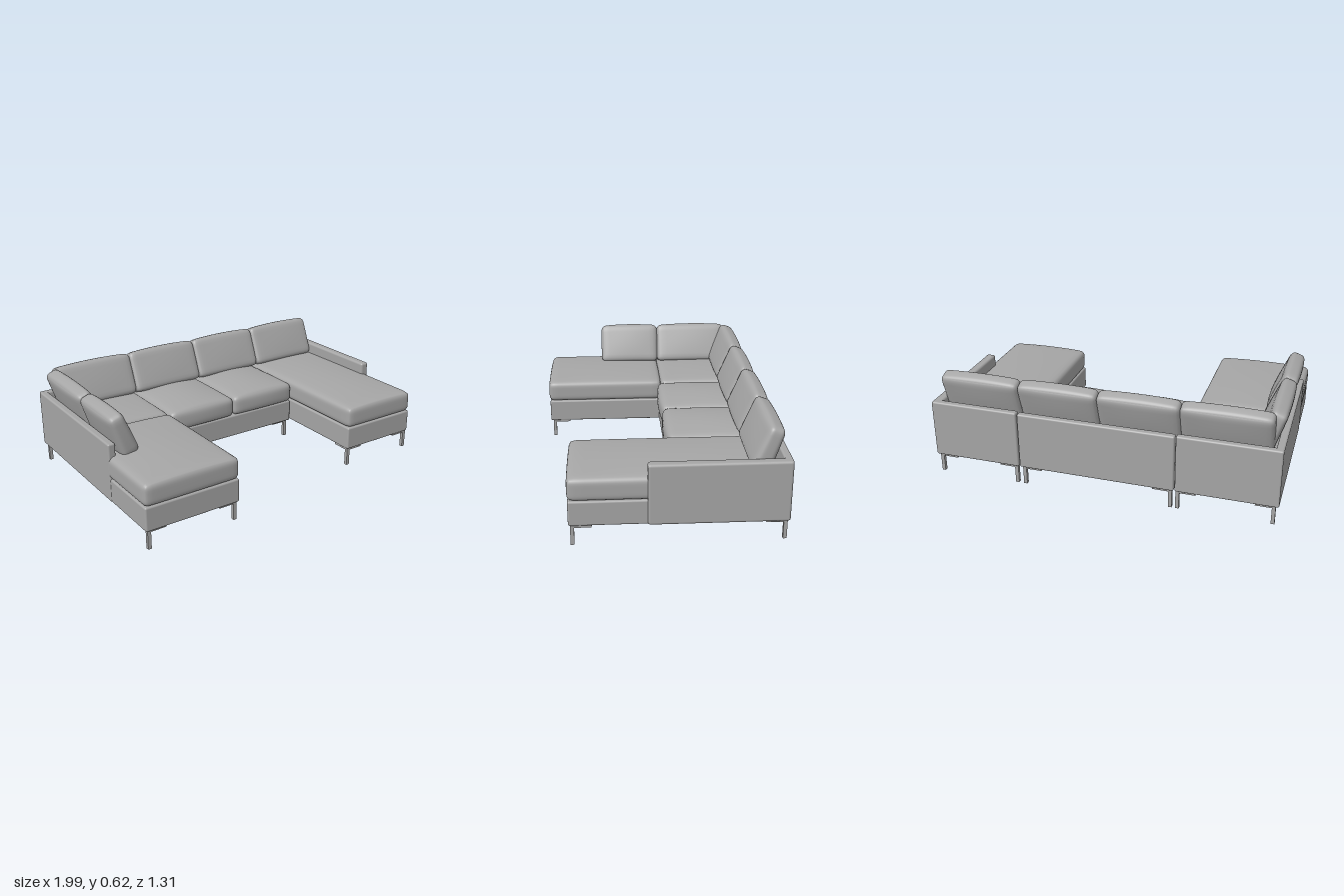
import * as THREE from 'three';
import { mergeVertices } from 'three/addons/utils/BufferGeometryUtils.js';
import { RoundedBoxGeometry } from 'three/addons/geometries/RoundedBoxGeometry.js';

const fabric = new THREE.MeshStandardMaterial({ color: 0xa6a6a6 });
fabric.name = 'grey upholstery';

// Soft box: rounded edges, bulging faces, optional thinning towards the top
function cushionGeometry(w, h, d, r, bulge, taper = 1) {
  let g = new THREE.BoxGeometry(2, 2, 2, 16, 14, 16);
  g.deleteAttribute('uv');
  g.deleteAttribute('normal');
  g = mergeVertices(g);
  const p = g.attributes.position;
  const half = new THREE.Vector3(w / 2, h / 2, d / 2);
  const core = half.clone().subScalar(r);
  const v = new THREE.Vector3(), inner = new THREE.Vector3();
  for (let i = 0; i < p.count; i++) {
    v.fromBufferAttribute(p, i);
    // crowd the grid towards the edges
    const x = Math.sin(v.x * Math.PI / 2), y = Math.sin(v.y * Math.PI / 2), z = Math.sin(v.z * Math.PI / 2);
    v.set(x, y, z).multiply(half);
    inner.copy(v).clamp(core.clone().negate(), core);
    v.sub(inner).setLength(r).add(inner);
    const fx = 1 - x * x, fy = 1 - y * y, fz = 1 - z * z;
    v.x += x * bulge[0] * fy * fz;
    v.y += Math.max(y, 0) * bulge[1] * fx * (0.4 + 0.6 * fz);
    v.z += z * bulge[2] * fx * (0.4 + 0.6 * fy);
    v.z *= 1 + (taper - 1) * (y + 1) / 2;
    p.setXYZ(i, v.x, v.y, v.z);
  }
  g.computeVertexNormals();
  return g;
}

export function createModel() {
  const sofa = new THREE.Group();
  sofa.name = 'sectionalSofa';

  const add = (name, geometry, x, y, z) => {
    const m = new THREE.Mesh(geometry, fabric);
    m.name = name;
    m.position.set(x, y, z);
    sofa.add(m);
    return m;
  };
  // Box given by its limits on each axis
  const block = (name, x0, x1, y0, y1, z0, z1, r = 0.01) =>
    add(name, new RoundedBoxGeometry(x1 - x0, y1 - y0, z1 - z0, 3, r),
      (x0 + x1) / 2, (y0 + y1) / 2, (z0 + z1) / 2);
  const seat = (name, x0, x1, z0, z1, top, crown, front) =>
    add(name, cushionGeometry(x1 - x0, top - 0.245, z1 - z0, 0.032, [0, crown, front]),
      (x0 + x1) / 2, (top + 0.245) / 2, (z0 + z1) / 2);

  // Upholstered bases
  block('rightChaiseBase', -0.995, -0.432, 0.11, 0.247, -0.63, 0.645);
  block('middleBase', -0.426, 0.464, 0.11, 0.247, -0.63, -0.07);
  block('leftChaiseBase', 0.472, 0.975, 0.11, 0.247, -0.63, 0.485);

  // Back and side panels
  block('rightBackPanel', -0.995, -0.436, 0.11, 0.447, -0.652, -0.61);
  block('middleBackPanel', -0.43, 0.466, 0.11, 0.443, -0.652, -0.61);
  block('leftBackPanel', 0.472, 0.985, 0.11, 0.447, -0.652, -0.61);
  block('rightSidePanel', -0.998, -0.955, 0.11, 0.447, -0.652, 0.27);
  block('leftArm', 0.935, 0.99, 0.11, 0.447, -0.652, 0.08, 0.014);

  // Seat cushions
  seat('cornerSeatCushion', -0.96, -0.432, -0.605, -0.082, 0.372, 0.018, 0.003);
  seat('rightChaiseCushion', -0.997, -0.43, -0.082, 0.65, 0.372, 0.02, 0.003);
  seat('middleSeatCushion', -0.428, 0.02, -0.605, -0.062, 0.366, 0.03, 0.015);
  seat('middleSeatCushion', 0.02, 0.468, -0.605, -0.062, 0.366, 0.03, 0.015);
  seat('leftChaiseCushion', 0.47, 0.978, -0.605, 0.488, 0.372, 0.02, 0.003);

  // Leaning back cushions along the back
  const backGeometry = w => cushionGeometry(w, 0.25, 0.105, 0.03, [0.003, 0.01, 0.012], 0.8);
  for (const [x0, x1] of [[-0.935, -0.44], [-0.44, 0.02], [0.02, 0.478], [0.478, 0.94]]) {
    add('backCushion', backGeometry(x1 - x0), (x0 + x1) / 2, 0.484, -0.533).rotation.x = -0.36;
  }
  // Leaning cushions along the right side
  for (const [z0, z1] of [[-0.55, -0.085], [-0.085, 0.3]]) {
    add('sideCushion', backGeometry(z1 - z0), -0.912, 0.484, (z0 + z1) / 2)
      .rotation.set(-0.36, Math.PI / 2, 0, 'YXZ');
  }

  // Slim legs, each under an L-shaped bracket pointing inwards
  const legGeometry = new THREE.BoxGeometry(0.02, 0.11, 0.02);
  const plateX = new THREE.BoxGeometry(0.11, 0.012, 0.02);
  const plateZ = new THREE.BoxGeometry(0.02, 0.012, 0.11);
  for (const [x0, x1, front] of [[-0.97, -0.45, 0.62], [-0.41, 0.44, -0.1], [0.49, 0.96, 0.465]]) {
    for (const [x, sx] of [[x0, 1], [x1, -1]]) {
      for (const [z, sz] of [[front, -1], [-0.63, 1]]) {
        add('leg', legGeometry, x, 0.055, z);
        add('legBracket', plateX, x + sx * 0.045, 0.104, z);
        add('legBracket', plateZ, x, 0.104, z + sz * 0.045);
      }
    }
  }
  return sofa;
}
